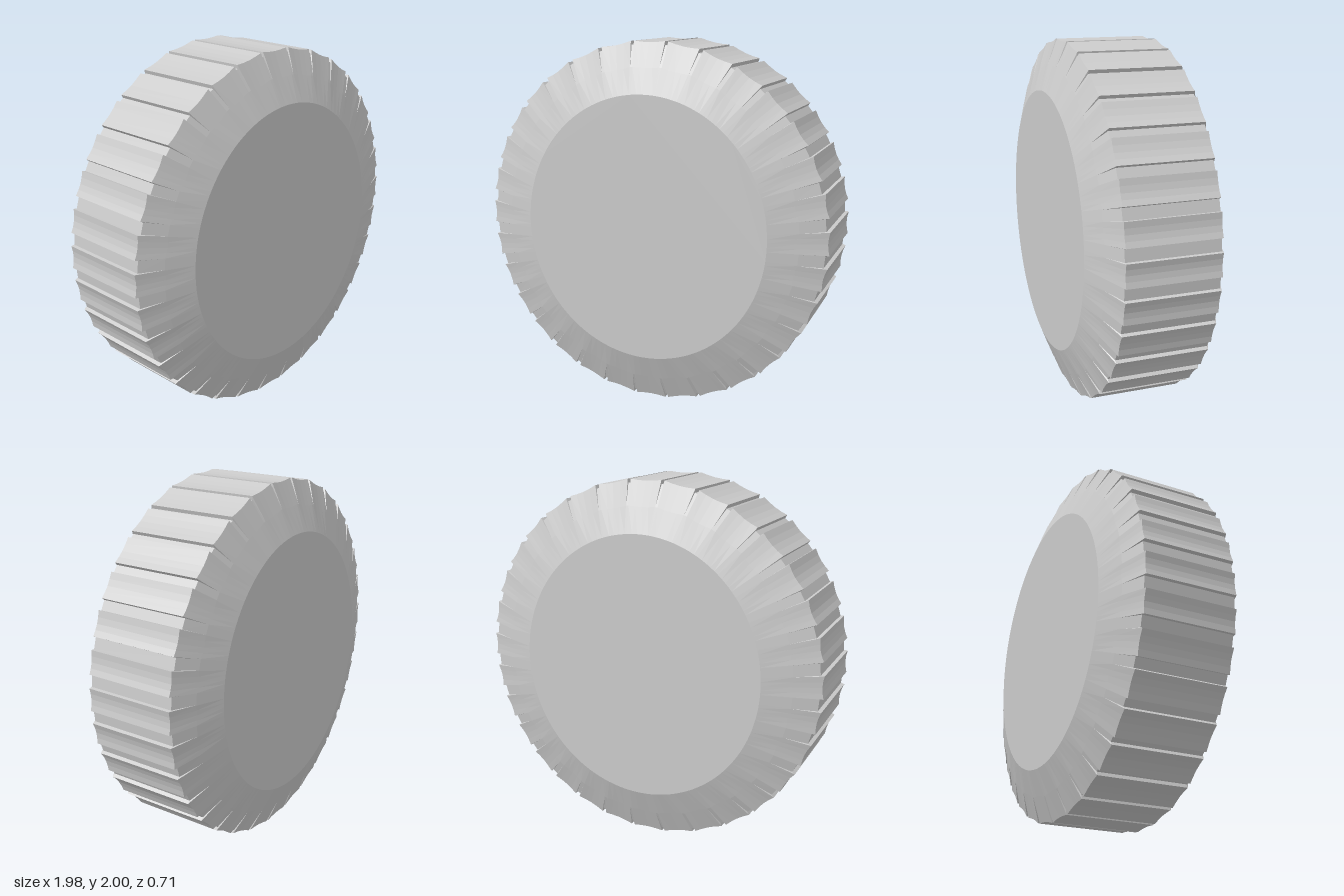
import * as THREE from 'three';

const TEETH = 32;
const STEP = (Math.PI * 2) / TEETH;
const HALF_TREAD = 0.25, HALF_DEPTH = 0.357;

// Samples around the wheel: a shallow concave scallop, then a narrow groove.
// Each sample holds its angle and how far it sits below the rim.
function makeSamples() {
  const samples = [];
  for (let i = 0; i < TEETH; i++) {
    const mid = i * STEP;
    // Grooves widen towards the sides of the wheel
    const groove = (a) => THREE.MathUtils.degToRad(0.5 + 1.6 * Math.cos(a) ** 2);
    const lo = -STEP / 2 + groove(mid - STEP / 2);
    const hi = STEP / 2 - groove(mid + STEP / 2);
    samples.push(
      { a: mid + lo, dip: 0, cut: 0 },
      { a: mid + lo * 0.5, dip: 0.008, cut: 0 },
      { a: mid, dip: 0.011, cut: 0 },
      { a: mid + hi * 0.5, dip: 0.008, cut: 0 },
      { a: mid + hi, dip: 0, cut: 0 },
      { a: mid + hi + 0.003, dip: 0, cut: 0.02 },
      { a: (i + 1) * STEP - STEP / 2 + groove(mid + STEP / 2) - 0.003, dip: 0, cut: 0.02 },
    );
  }
  return samples;
}

// One closed ring of points at depth z
function ring(samples, rx, ry, z, dip, cut) {
  return samples.map((s) => {
    const k = 1 - s.dip * dip - s.cut * cut;
    return new THREE.Vector3(rx * k * Math.cos(s.a), 1 + ry * k * Math.sin(s.a), z);
  });
}

// Joins rings ordered from front to back into an outward-facing skin
function skin(rings) {
  const pos = [];
  const n = rings[0].length;
  for (let r = 0; r < rings.length - 1; r++) {
    for (let i = 0; i < n; i++) {
      const j = (i + 1) % n;
      const a = rings[r][i], b = rings[r + 1][i], c = rings[r + 1][j], d = rings[r][j];
      for (const p of [a, b, c, a, c, d]) pos.push(p.x, p.y, p.z);
    }
  }
  const geo = new THREE.BufferGeometry();
  geo.setAttribute('position', new THREE.Float32BufferAttribute(pos, 3));
  geo.computeVertexNormals();
  return geo;
}

export function createModel() {
  const group = new THREE.Group();
  const material = new THREE.MeshStandardMaterial({ color: 0xcccccc, flatShading: true });
  const add = (name, geometry) => {
    const mesh = new THREE.Mesh(geometry, material);
    mesh.name = name;
    group.add(mesh);
    return mesh;
  };

  const samples = makeSamples();
  const rim = (z) => ring(samples, 0.992, 1.003, z, 1, 1);
  const flute = (z) => ring(samples, 0.845, 0.87, z, 0.8, 0);
  const face = (z) => ring(samples, 0.69, 0.73, z, 0, 0);
  const zMid = (HALF_TREAD + HALF_DEPTH) / 2;

  // Grooved tread
  add('tread', skin([rim(HALF_TREAD), rim(-HALF_TREAD)]));

  // Fluted side walls sloping in to the flat faces
  add('frontWall', skin([face(HALF_DEPTH), flute(zMid), rim(HALF_TREAD)]));
  add('backWall', skin([rim(-HALF_TREAD), flute(-zMid), face(-HALF_DEPTH)]));

  // Flat oval faces, sharing the inner edge of the walls
  const outline = new THREE.Shape(face(0).map((p) => new THREE.Vector2(p.x, p.y)));
  add('frontFace', new THREE.ShapeGeometry(outline)).position.z = HALF_DEPTH;
  const back = add('backFace', new THREE.ShapeGeometry(outline));
  back.rotation.y = Math.PI;
  back.position.z = -HALF_DEPTH;

  return group;
}
